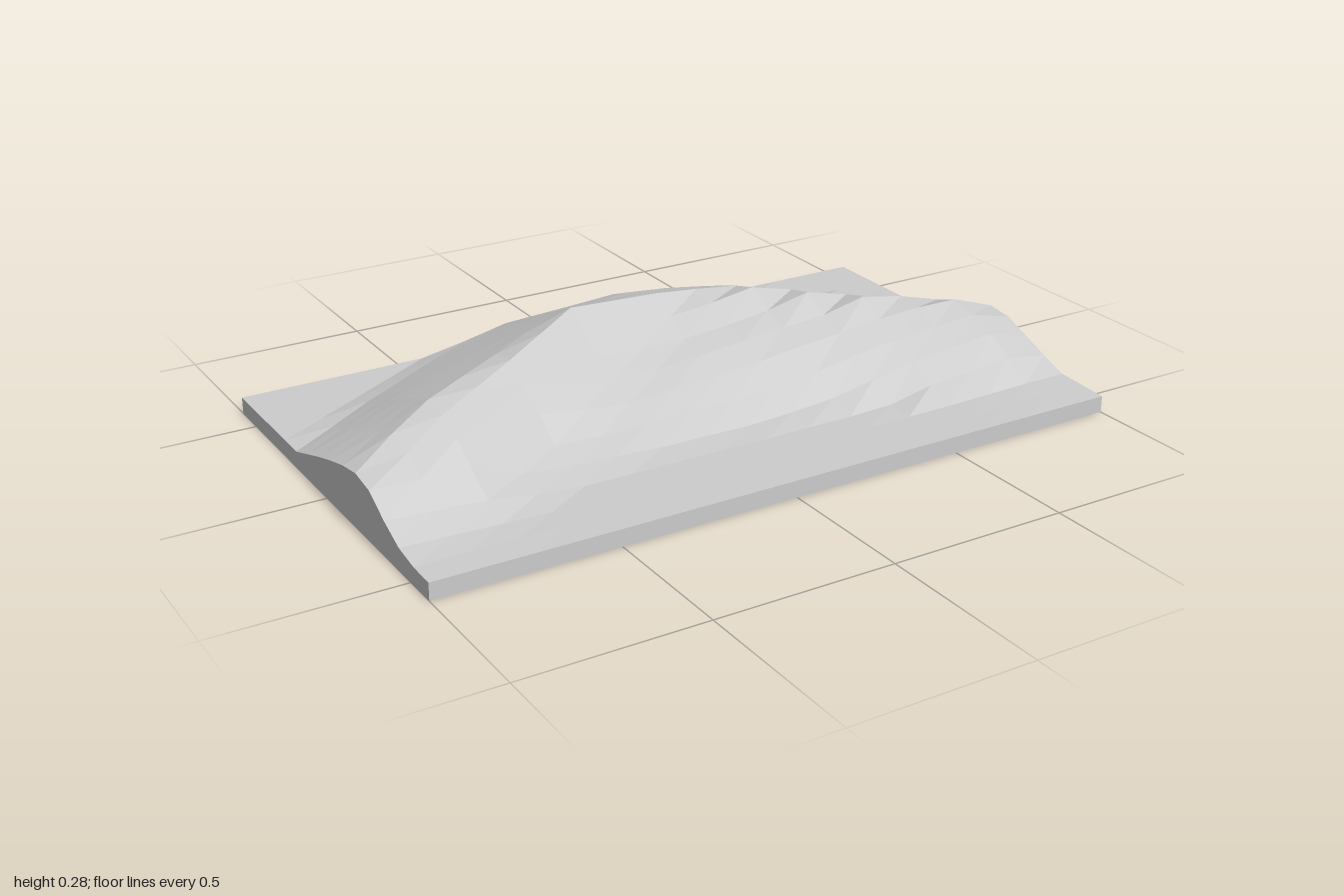
import * as THREE from 'three';

// Cross-sections of the ridge at each x, as [z, height] from front to back:
// front foot, lower slope, upper slope, crest, back slope, back foot.
const BASE = 0.047;
const sections = [
  { x: -1.0, pts: [[0.47, 0.05], [0.38, 0.085], [0.28, 0.14], [0.18, 0.155], [0.0, 0.11], [-0.2, BASE]] },
  { x: -0.74, pts: [[0.45, 0.05], [0.35, 0.085], [0.22, 0.17], [0.07, 0.232], [-0.15, 0.15], [-0.4, BASE]] },
  { x: -0.47, pts: [[0.36, 0.05], [0.22, 0.08], [0.08, 0.18], [-0.06, 0.252], [-0.3, 0.16], [-0.58, BASE]] },
  { x: -0.2, pts: [[0.3, 0.05], [0.17, 0.1], [0.0, 0.17], [-0.2, 0.28], [-0.4, 0.19], [-0.6, 0.1]] },
  { x: 0.1, pts: [[0.29, 0.05], [0.06, 0.17], [-0.07, 0.2], [-0.2, 0.268], [-0.4, 0.21], [-0.6, 0.115]] },
  { x: 0.35, pts: [[0.32, 0.05], [0.1, 0.18], [-0.02, 0.21], [-0.12, 0.264], [-0.35, 0.19], [-0.6, 0.07]] },
  { x: 0.6, pts: [[0.42, 0.05], [0.22, 0.15], [0.1, 0.2], [0.03, 0.238], [-0.25, 0.14], [-0.55, BASE]] },
  { x: 0.87, pts: [[0.44, 0.055], [0.3, 0.14], [0.18, 0.185], [0.11, 0.2], [-0.08, 0.12], [-0.28, BASE]] },
  { x: 1.0, pts: [[0.43, 0.055], [0.2, 0.145], [0.17, 0.152], [0.13, 0.156], [0.03, 0.13], [-0.12, BASE]] },
];

const lerp = THREE.MathUtils.lerp;

// Ground height: blend the two nearest sections, then walk along the blended profile.
function heightAt(x, z) {
  let i = 0;
  while (i < sections.length - 2 && x > sections[i + 1].x) i++;
  const a = sections[i], b = sections[i + 1];
  const t = THREE.MathUtils.clamp((x - a.x) / (b.x - a.x), 0, 1);
  const profile = a.pts.map((p, k) => [lerp(p[0], b.pts[k][0], t), lerp(p[1], b.pts[k][1], t)]);
  profile.unshift([0.601, BASE]);
  profile.push([-0.7, BASE]);
  for (let k = 0; k < profile.length - 1; k++) {
    const [z0, y0] = profile[k], [z1, y1] = profile[k + 1];
    if (z <= z0 && z >= z1) return lerp(y0, y1, (z0 - z) / (z0 - z1));
  }
  return BASE;
}

export function createModel() {
  const group = new THREE.Group();
  group.name = 'terrainTile';
  const stone = new THREE.MeshStandardMaterial({ color: 0xcccccc, flatShading: true });
  stone.name = 'lightGrey';

  // Solid block whose upper vertices follow the ground height
  const box = new THREE.BoxGeometry(2, 1, 1.2, 15, 1, 15);
  const pos = box.attributes.position;
  for (let i = 0; i < pos.count; i++) {
    pos.setY(i, pos.getY(i) > 0 ? heightAt(pos.getX(i), pos.getZ(i)) : 0);
  }
  const geometry = box.toNonIndexed();
  geometry.computeVertexNormals();

  const terrain = new THREE.Mesh(geometry, stone);
  terrain.name = 'ridgeAndBase';
  group.add(terrain);
  return group;
}
